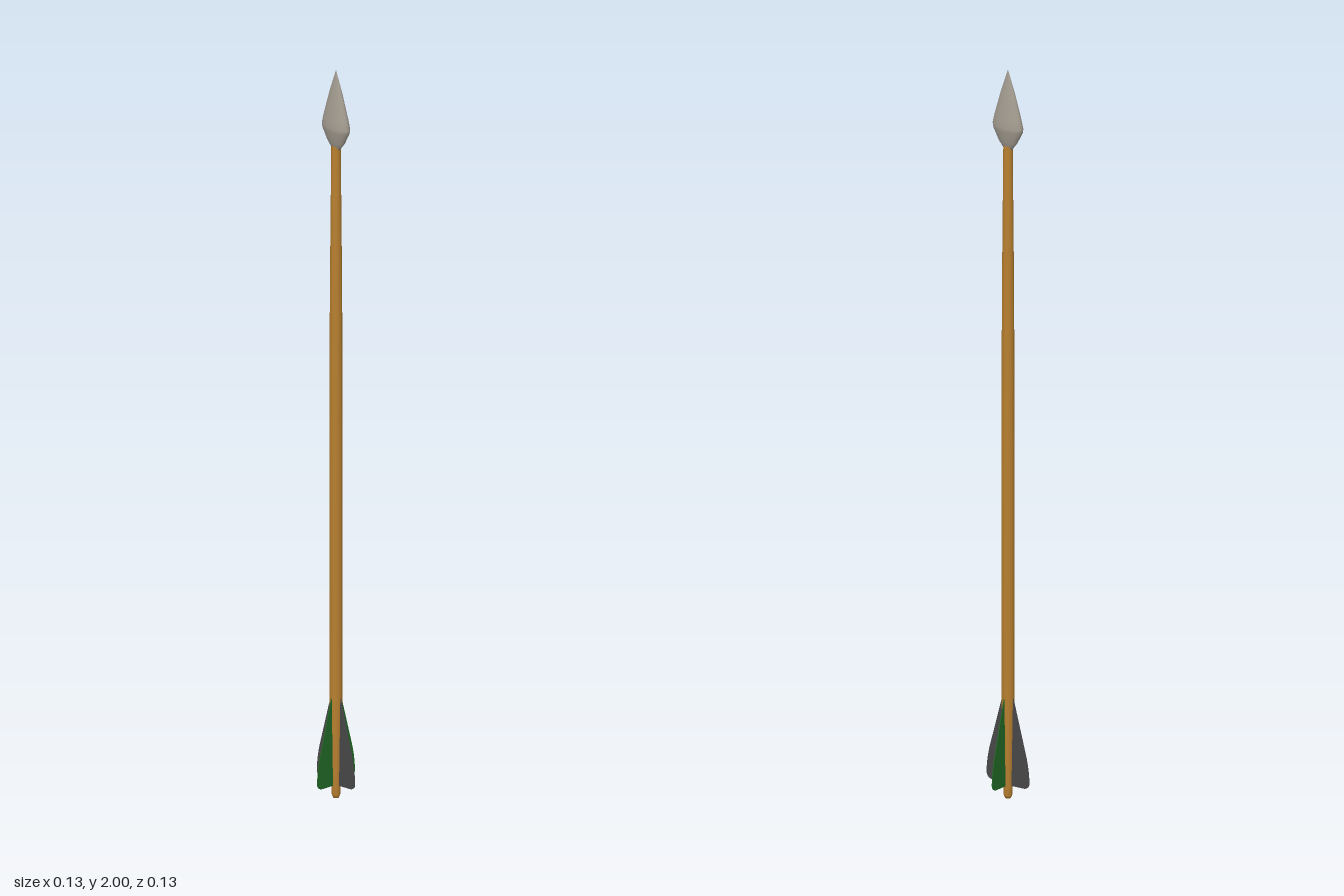
import * as THREE from 'three';

const mat = (color, extra = {}) => new THREE.MeshStandardMaterial({ color, ...extra });

// Surface of revolution from [radius, height] pairs, listed bottom to top
function lathe(name, profile, material, segments) {
  const points = profile.map(([r, y]) => new THREE.Vector2(r, y));
  const mesh = new THREE.Mesh(new THREE.LatheGeometry(points, segments), material);
  mesh.name = name;
  return mesh;
}

// Thin feather vane reaching out along +x
function vaneGeometry() {
  const s = new THREE.Shape();
  s.moveTo(0.004, 0.037);
  s.lineTo(0.05, 0.04);
  s.quadraticCurveTo(0.066, 0.042, 0.067, 0.058);
  s.quadraticCurveTo(0.066, 0.09, 0.058, 0.125);
  s.lineTo(0.017, 0.278);
  s.lineTo(0.004, 0.278);
  s.closePath();
  const depth = 0.002;
  return new THREE.ExtrudeGeometry(s, { depth, bevelEnabled: false, curveSegments: 6 })
    .translate(0, 0, -depth / 2);
}

export function createModel() {
  const model = new THREE.Group();
  model.name = 'arrow';

  // Wooden shaft, slimmer at both ends, with a rounded nock
  model.add(lathe('shaft', [
    [0, 0], [0.008, 0.003], [0.011, 0.012], [0.012, 0.04], [0.0135, 0.12],
    [0.0165, 0.28], [0.0168, 1.0], [0.0155, 1.4], [0.012, 1.79], [0, 1.8],
  ], mat(0xb88030), 16));

  // Flattened metal point
  const head = lathe('head', [
    [0, 1.778], [0.012, 1.782], [0.028, 1.803], [0.044, 1.835],
    [0.046, 1.846], [0.041, 1.868], [0.022, 1.935], [0, 2],
  ], mat(0xa39c90), 24);
  head.geometry.scale(1, 1, 0.45);
  model.add(head);

  // Four vanes: dark pair left and right, green pair front and back
  const geometry = vaneGeometry();
  const dark = mat(0x484848), green = mat(0x226a26);
  ['left', 'back', 'right', 'front'].forEach((side, i) => {
    const vane = new THREE.Mesh(geometry, i % 2 ? green : dark);
    vane.name = side + 'Vane';
    vane.rotation.y = i * Math.PI / 2;
    model.add(vane);
  });

  return model;
}
